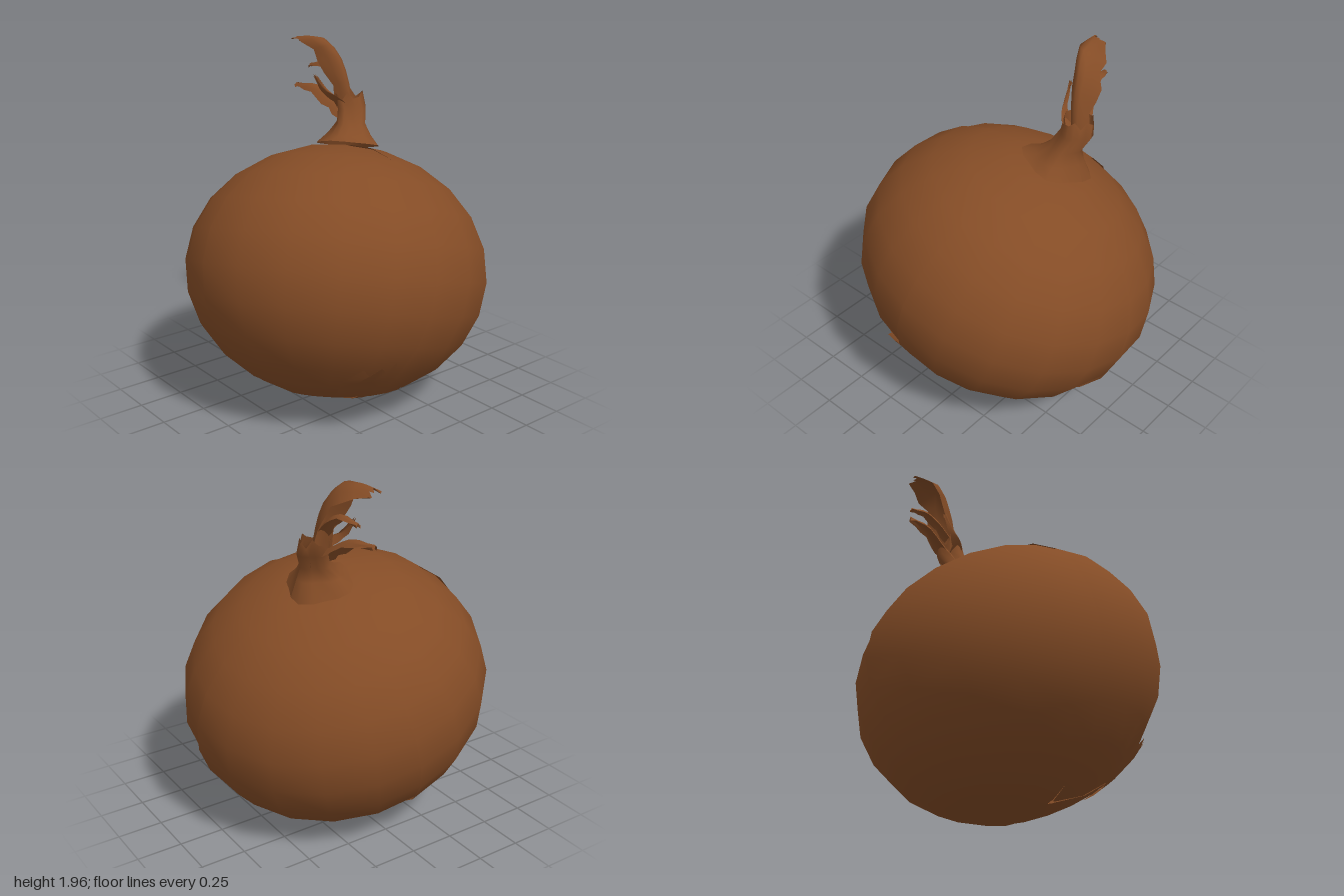
import * as THREE from 'three';

const skin = new THREE.MeshStandardMaterial({ color: 0x844c26, side: THREE.DoubleSide });
skin.name = 'brown skin';

const CENTRE = new THREE.Vector3(0, 0.72, 0);
const RADII = new THREE.Vector3(0.855, 0.7, 0.82);
const TILT = new THREE.Quaternion().setFromUnitVectors(
  new THREE.Vector3(0, 1, 0), new THREE.Vector3(0.26, 0.94, -0.2).normalize());

// Grid surface: point(u, v) returns a Vector3, u runs along rows, v across columns
function sheet(name, rows, cols, point) {
  const pos = [], index = [];
  for (let i = 0; i <= rows; i++) {
    for (let j = 0; j <= cols; j++) pos.push(...point(i / rows, j / cols, i, j).toArray());
  }
  for (let i = 0; i < rows; i++) {
    for (let j = 0; j < cols; j++) {
      const a = i * (cols + 1) + j, b = a + cols + 1;
      index.push(a, a + 1, b, a + 1, b + 1, b);
    }
  }
  const geo = new THREE.BufferGeometry();
  geo.setAttribute('position', new THREE.Float32BufferAttribute(pos, 3));
  geo.setIndex(index);
  geo.computeVertexNormals();
  const mesh = new THREE.Mesh(geo, skin);
  mesh.name = name;
  return mesh;
}

// One quarter of the bulb; its far edge lifts slightly over the next quarter
function peel(k) {
  const mesh = sheet('peel' + (k + 1), 12, 5, (u, v) => {
    const phi = 0.02 + u * (Math.PI - 0.04);
    const theta = (k + v * 1.03) * Math.PI / 2;
    const lift = 1 + 0.008 * v;
    return new THREE.Vector3(
      Math.sin(phi) * Math.cos(theta), Math.cos(phi), Math.sin(phi) * Math.sin(theta)
    ).multiply(RADII).multiplyScalar(lift);
  });
  // Rounded normals keep the quarters reading as one smooth bulb
  const { position, normal } = mesh.geometry.attributes;
  const n = new THREE.Vector3();
  for (let i = 0; i < position.count; i++) {
    n.fromBufferAttribute(position, i).divide(RADII).divide(RADII).normalize();
    normal.setXYZ(i, n.x, n.y, n.z);
  }
  return mesh;
}

// Place a front-facing (x, y) on the bulb with a small outward lift
function onBulb(x, y, lift) {
  const dy = y - CENTRE.y;
  const z = 0.82 * Math.sqrt(1 - (x / 0.84) ** 2 - (dy / 0.72) ** 2);
  const d = new THREE.Vector3(x, dy, z).applyQuaternion(TILT.clone().invert());
  const k = lift / d.clone().divide(RADII).length();
  return d.multiplyScalar(k).applyQuaternion(TILT).add(CENTRE);
}

// Curled dry leaf: centre line, width per point, and edges drooping by depth
function leaf(name, points, widths, across, droop) {
  const curve = new THREE.CatmullRomCurve3(points.map(p => new THREE.Vector3(...p)));
  const side = new THREE.Vector3(...across).normalize();
  const down = new THREE.Vector3(...droop);
  return sheet(name, 8, 6, (u, v, i, j) => {
    const f = u * (widths.length - 1), a = Math.min(Math.floor(f), widths.length - 2);
    const w = THREE.MathUtils.lerp(widths[a], widths[a + 1], f - a);
    const s = v * 2 - 1;
    const ragged = 1 + 0.12 * Math.sin(i * 2.3 + j) * Math.abs(s);
    const p = curve.getPoint(u);
    if (i === 8) p.addScaledVector(down, j % 2 ? 0.2 : -0.1); // torn tip
    return p.addScaledVector(side, s * w * ragged)
      .addScaledVector(down, s * s * w * 10 * ragged);
  });
}

export function createModel() {
  const model = new THREE.Group();
  model.name = 'onion';

  // Bulb in four overlapping peels
  const bulb = new THREE.Group();
  bulb.name = 'bulb';
  bulb.position.copy(CENTRE);
  bulb.quaternion.copy(TILT);
  for (let k = 0; k < 4; k++) bulb.add(peel(k));
  model.add(bulb);

  // Torn skin flap low on the front: left and right edge of each row
  const flap = [[-0.36, 0.44, -0.2, 0.47], [-0.42, 0.34, -0.15, 0.34],
    [-0.38, 0.23, -0.05, 0.22], [-0.36, 0.18, 0.03, 0.16]];
  model.add(sheet('tornFlap', 3, 4, (u, v, i, j) => {
    const [x0, y0, x1, y1] = flap[i];
    return onBulb(x0 + (x1 - x0) * v, y0 + (y1 - y0) * v + (i === 0 && j % 2 ? -0.05 : 0),
      1.01 + 0.02 * Math.sin(v * Math.PI) * (1 - u * 0.5));
  }));

  // Neck: flared, pleated rings from ragged top to base [x, y, z, radius, slope]
  const rings = [[0.275, 1.65, -0.235, 0.08, 0], [0.28, 1.58, -0.215, 0.085, 0],
    [0.24, 1.5, -0.175, 0.085, 0.1], [0.215, 1.44, -0.16, 0.125, 0.25],
    [0.2, 1.385, -0.155, 0.175, 0.9]];
  model.add(sheet('neck', 4, 16, (u, v, i, j) => {
    const [x, y, z, r, slope] = rings[i];
    const t = v * Math.PI * 2;
    const rr = r * (1 + 0.09 * Math.cos(t * 4 + i * 0.4));
    const dx = rr * Math.cos(t), dz = rr * Math.sin(t);
    const tear = i === 0 ? 0.025 * Math.sin(j * 2.4) * (j % 16 ? 1 : 0) : 0;
    return new THREE.Vector3(x + dx, y + tear - slope * (0.28 * dx - 0.21 * dz), z + dz);
  }));

  // Withered leaves bending backwards
  model.add(leaf('tallLeaf',
    [[0.27, 1.55, -0.2], [0.25, 1.72, -0.22], [0.23, 1.86, -0.27], [0.19, 1.96, -0.36], [0.15, 1.95, -0.53]],
    [0.05, 0.065, 0.085, 0.08, 0.04], [1, -0.3, 0], [0, -0.06, -0.1]));
  model.add(leaf('tallLeafInnerEdge',
    [[0.25, 1.7, -0.25], [0.25, 1.78, -0.33], [0.24, 1.82, -0.42], [0.22, 1.79, -0.52]],
    [0.04, 0.04, 0.035, 0.015], [1, 0.2, 0], [0, -0.07, -0.02]));
  model.add(leaf('lowLeaf',
    [[0.25, 1.57, -0.22], [0.23, 1.63, -0.32], [0.19, 1.69, -0.43], [0.15, 1.68, -0.56]],
    [0.06, 0.06, 0.05, 0.015], [1, 0, 0.2], [0, -0.08, 0]));
  model.add(leaf('sideLeaf',
    [[0.23, 1.58, -0.22], [0.17, 1.65, -0.23], [0.14, 1.68, -0.28], [0.12, 1.76, -0.35]],
    [0.04, 0.045, 0.03, 0.015], [0.3, 0, 1], [0.04, -0.06, 0]));

  return model;
}
